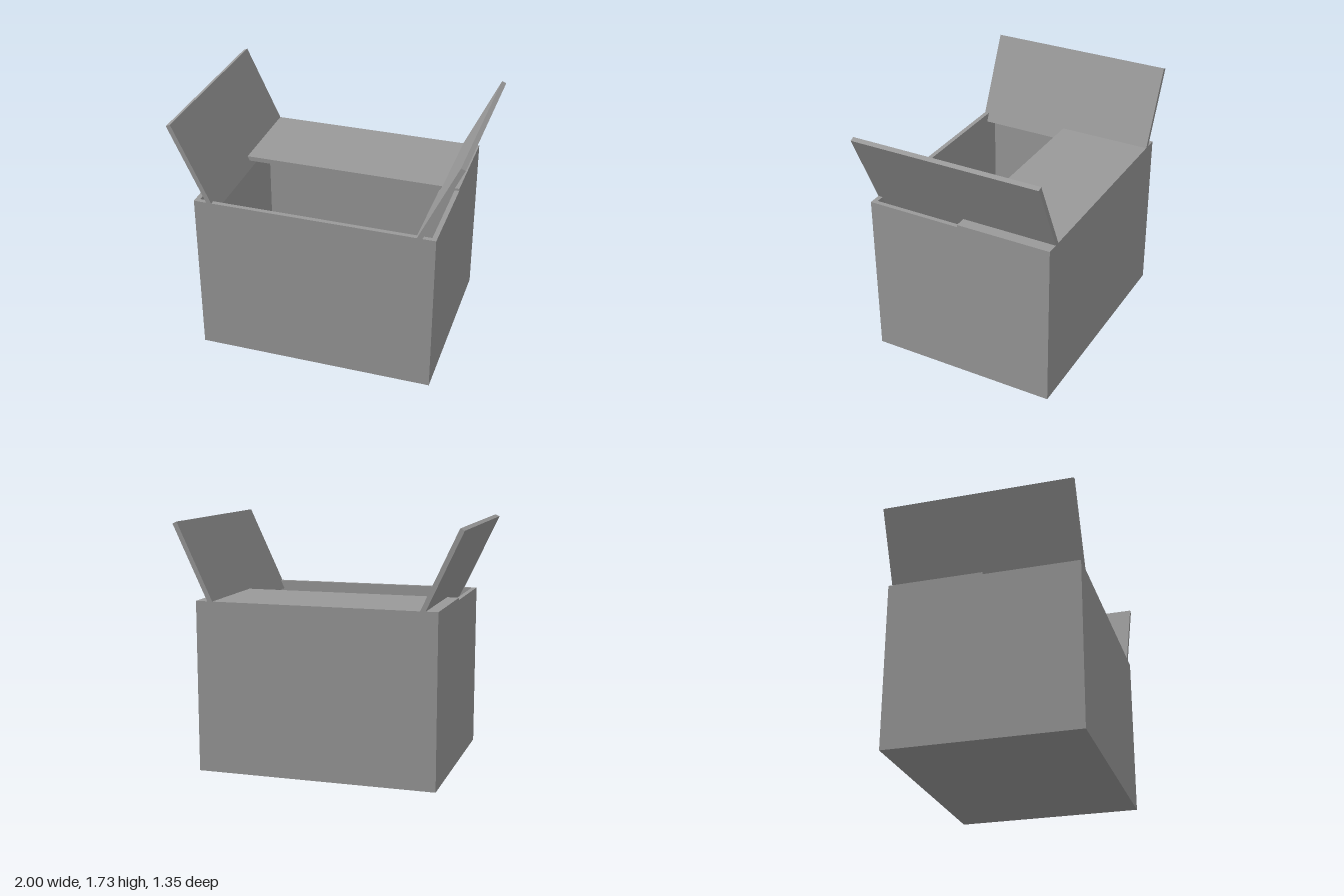
import * as THREE from 'three';

export function createModel() {
  const group = new THREE.Group();
  const cardboard = new THREE.MeshStandardMaterial({ color: 0x999999 });
  cardboard.name = 'grey cardboard';

  const X = 0.84, Z = 0.674, H = 1.18, T = 0.033; // half width, half depth, wall height, board thickness

  function board(name, w, h, d, x, y, z) {
    const mesh = new THREE.Mesh(new THREE.BoxGeometry(w, h, d), cardboard);
    mesh.name = name;
    mesh.position.set(x, y, z);
    group.add(mesh);
    return mesh;
  }

  // Open box: floor and four walls
  board('floor', 2 * X, T, 2 * Z, 0, T / 2, 0);
  const wallH = H - T, wallY = T + wallH / 2;
  board('frontWall', 2 * X, wallH, T, 0, wallY, Z - T / 2);
  board('backWall', 2 * X, wallH, T, 0, wallY, -Z + T / 2);

  // Closed back flap, reaching to the middle of the opening
  board('backFlap', 2 * X, T, Z, 0, H, -Z / 2);

  // Side walls and raised side flaps, leaning outwards and set in from the walls
  const lean = THREE.MathUtils.degToRad(25);
  for (const [side, s] of [['left', 1], ['right', -1]]) {
    board(side + 'Wall', T, wallH, 2 * (Z - T), s * (X - T / 2), wallY, 0);
    const flap = board(side + 'Flap', T, 0.675, 2 * Z, s * 0.842, 1.418, 0);
    flap.rotation.z = -s * lean;
  }
  return group;
}
